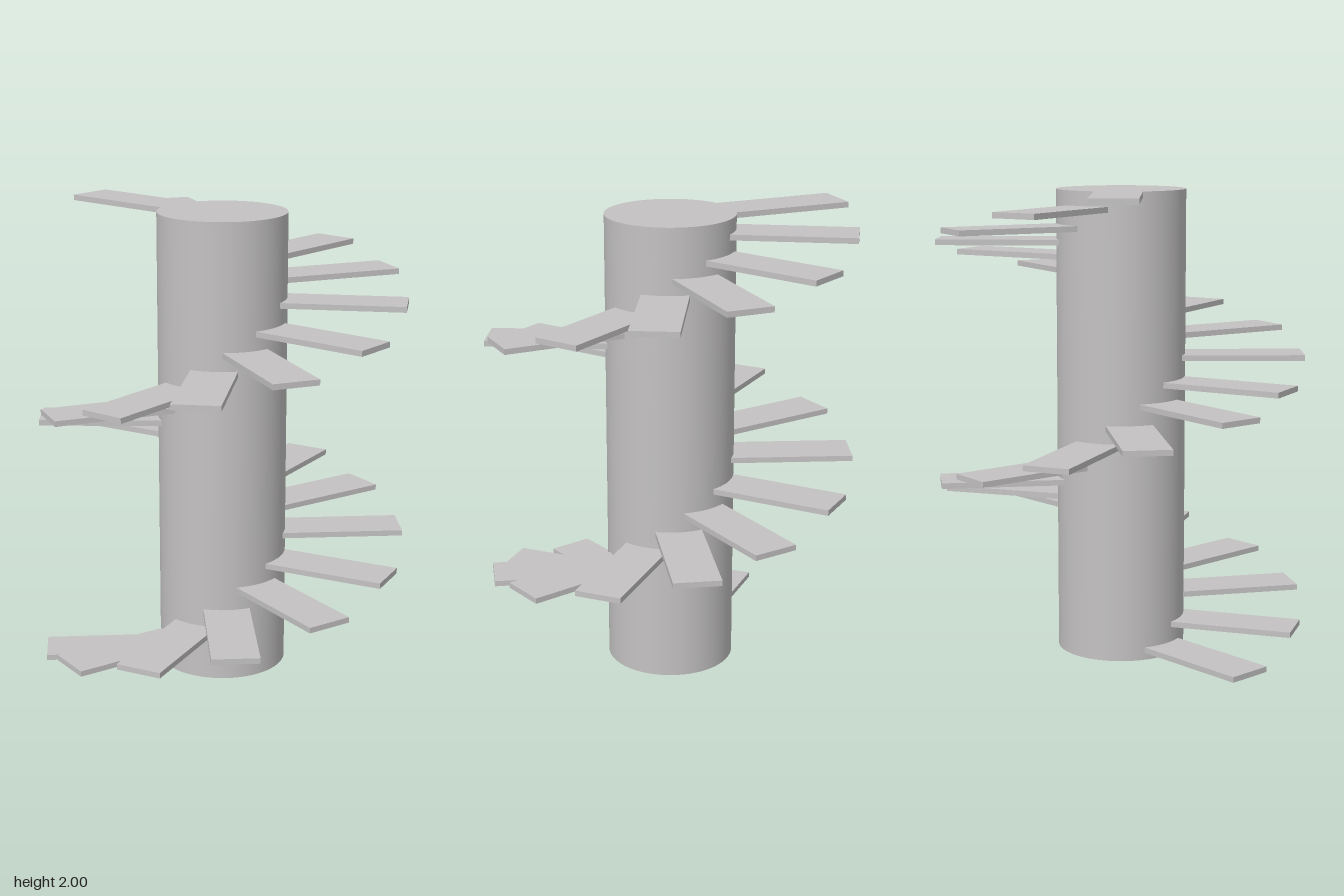
import * as THREE from 'three';

export function createModel() {
  const model = new THREE.Group();
  model.name = 'spiralStaircase';
  const stone = new THREE.MeshStandardMaterial({ color: 0xc4c2c3 });
  stone.name = 'light grey';

  // Central column
  const columnRadius = 0.276, height = 2;
  const column = new THREE.Mesh(
    new THREE.CylinderGeometry(columnRadius, columnRadius, height, 64), stone);
  column.name = 'column';
  column.position.y = height / 2;
  model.add(column);

  // Treads: rooted inside the column, reaching out along local +x
  const inner = 0.24, outer = 0.783, width = 0.2, thickness = 0.024;
  const treadGeometry = new THREE.BoxGeometry(outer - inner, thickness, width);
  treadGeometry.translate((inner + outer) / 2, 0, 0);

  // Centre height and turn in degrees of each tread, starting on the right side
  const treads = [
    [0.043, 0], [0.132, 30], [0.229, 60], [0.307, 90], [0.409, 120], [0.493, 150],
    [0.589, 180], [0.667, 210], [0.753, 235], [0.838, 265], [0.935, 295], [1.013, 325],
    [1.104, 355], [1.188, 378.5], [1.286, 408.5], [1.366, 438.5], [1.446, 467.5], [1.528, 497.5],
    [1.626, 527.5], [1.706, 557.5], [1.777, 585], [1.843, 615], [1.926, 645], [1.988, 675],
  ];
  treads.forEach(([y, turn], i) => {
    const tread = new THREE.Mesh(treadGeometry, stone);
    tread.name = `tread${i + 1}`;
    tread.position.y = y;
    tread.rotation.y = Math.PI + THREE.MathUtils.degToRad(turn);
    model.add(tread);
  });

  model.position.x = -0.003;
  return model;
}
